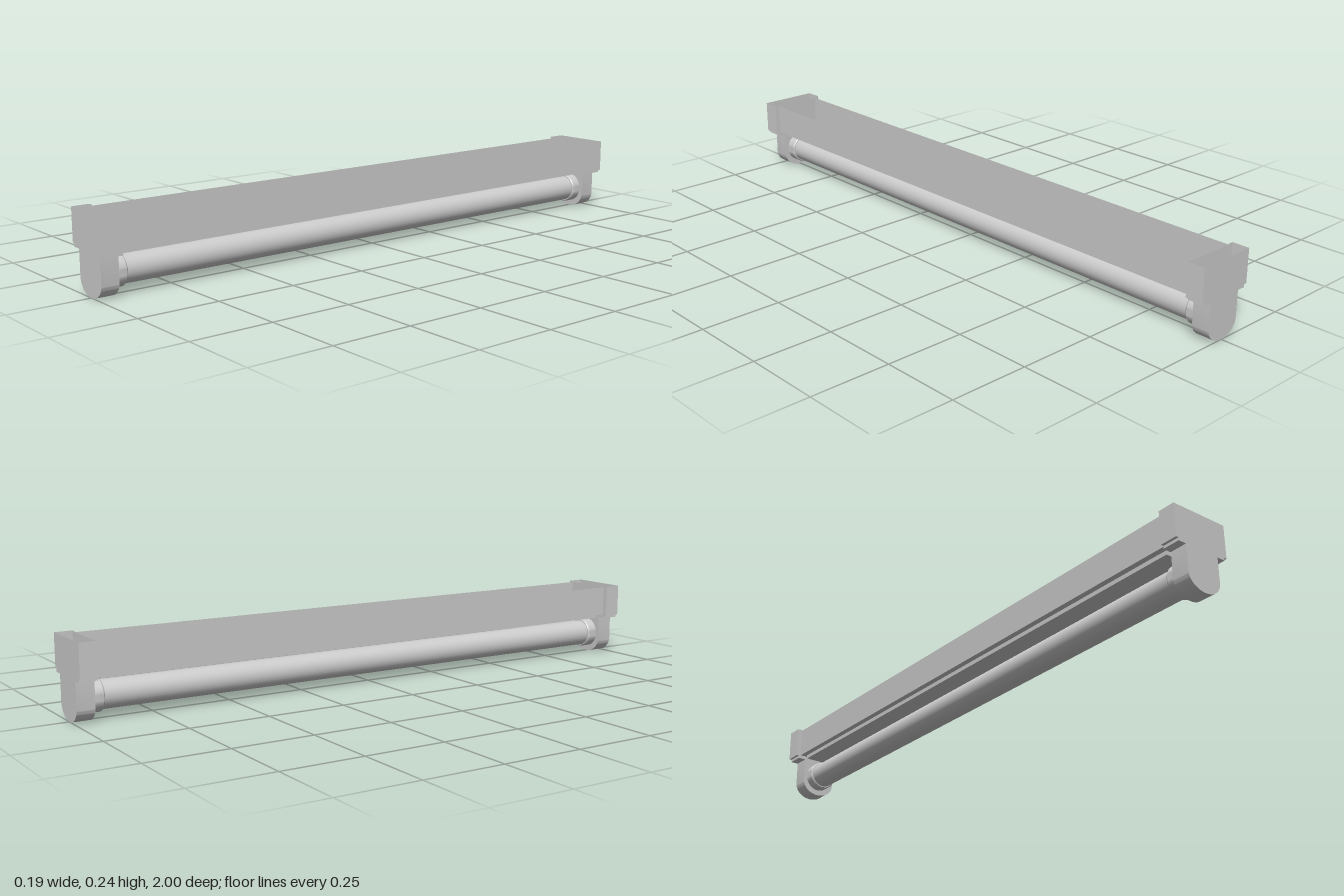
import * as THREE from 'three';
import { toCreasedNormals } from 'three/addons/utils/BufferGeometryUtils.js';

const sheet = new THREE.MeshStandardMaterial({ color: 0xcccccc, side: THREE.DoubleSide });

function add(parent, name, geometry) {
  const mesh = new THREE.Mesh(geometry, sheet);
  mesh.name = name;
  parent.add(mesh);
  return mesh;
}

// Thin wall following an open or closed path in x/y, drawn out along z
function wall(points, z0, z1) {
  const pos = [];
  for (let i = 0; i < points.length - 1; i++) {
    const a = points[i], b = points[i + 1];
    pos.push(a.x, a.y, z0, b.x, b.y, z0, b.x, b.y, z1);
    pos.push(a.x, a.y, z0, b.x, b.y, z1, a.x, a.y, z1);
  }
  const g = new THREE.BufferGeometry();
  g.setAttribute('position', new THREE.Float32BufferAttribute(pos, 3));
  g.computeVertexNormals();
  return toCreasedNormals(g, 0.5);
}

const v = (x, y) => new THREE.Vector2(x, y);
const rect = (w, h) => [v(-w, -h), v(w, -h), v(w, h), v(-w, h)];

// Cap outline from top left, round the bottom, to top right
function capOutline() {
  const pts = [v(-0.096, 0.241), v(-0.096, 0.137), v(-0.087, 0.137), v(-0.087, 0.128), v(-0.06, 0.128)];
  for (let i = 0; i <= 28; i++) {
    const a = Math.PI * (1 + i / 28);
    pts.push(v(0.06 * Math.cos(a), 0.048 + 0.048 * Math.sin(a)));
  }
  pts.push(v(0.06, 0.128), v(0.087, 0.128), v(0.087, 0.137), v(0.096, 0.137), v(0.096, 0.241));
  return pts;
}

// Hollow end cap, open at the top, with the lamp socket
function endCap() {
  const cap = new THREE.Group();
  const outline = capOutline();
  add(cap, 'capShell', wall(outline, 0.945, 1));
  add(cap, 'capFace', new THREE.ShapeGeometry(new THREE.Shape(outline))).position.z = 1;
  // Inner plate is cut out where the channel meets it
  const inner = [...outline, v(0.08, 0.241), v(0.08, 0.14), v(-0.08, 0.14), v(-0.08, 0.241)];
  add(cap, 'capInnerPlate', new THREE.ShapeGeometry(new THREE.Shape(inner))).position.z = 0.945;
  const profile = [v(0.042, 0.91), v(0.046, 0.91), v(0.049, 0.914), v(0.049, 0.945)];
  const socket = new THREE.LatheGeometry(profile, 36);
  socket.rotateX(Math.PI / 2);
  add(cap, 'socket', toCreasedNormals(socket, 0.6)).position.y = 0.068;
  return cap;
}

export function createModel() {
  const model = new THREE.Group();
  model.name = 'tubeLight';

  // Open-topped channel
  const channel = new THREE.Group();
  channel.name = 'channel';
  model.add(channel);
  for (const s of [-1, 1]) {
    add(channel, 'channelSide', wall([v(s * 0.08, 0.238), v(s * 0.08, 0.14)], -0.945, 0.945));
    const end = add(channel, 'channelEnd', new THREE.PlaneGeometry(0.16, 0.098));
    end.position.set(0, 0.189, s * 0.945);
  }

  // Ledge around the sunken tray
  const ledge = new THREE.Shape(rect(0.08, 0.945));
  ledge.holes.push(new THREE.Path(rect(0.061, 0.93)));
  const ledgeGeo = new THREE.ShapeGeometry(ledge);
  ledgeGeo.rotateX(-Math.PI / 2);
  add(channel, 'ledge', ledgeGeo).position.y = 0.14;

  // Sunken tray under the channel
  add(channel, 'tray', wall(
    [v(-0.061, 0.14), v(-0.061, 0.127), v(0.061, 0.127), v(0.061, 0.14)], -0.93, 0.93));
  for (const s of [-1, 1]) {
    const end = add(channel, 'trayEnd', new THREE.PlaneGeometry(0.122, 0.013));
    end.position.set(0, 0.1335, s * 0.93);
  }

  // Lamp tube
  const tube = new THREE.CylinderGeometry(0.043, 0.043, 1.88, 36);
  tube.rotateX(Math.PI / 2);
  add(model, 'lampTube', tube).position.y = 0.068;

  // Matching caps at both ends
  for (const turn of [0, Math.PI]) {
    const cap = endCap();
    cap.name = turn ? 'backCap' : 'frontCap';
    cap.rotation.y = turn;
    model.add(cap);
  }
  return model;
}
